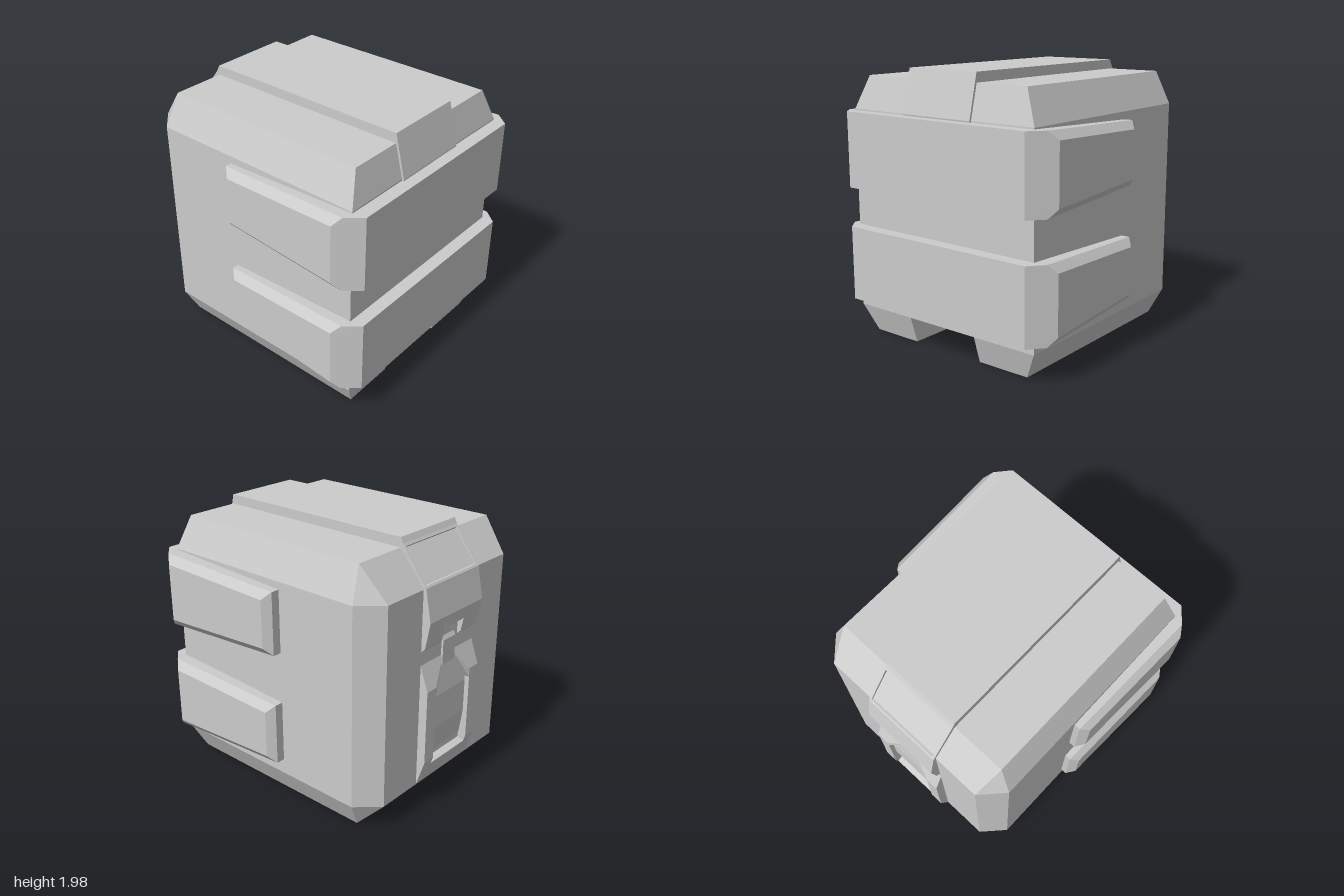
import * as THREE from 'three';
import { ConvexGeometry } from 'three/addons/geometries/ConvexGeometry.js';

const material = new THREE.MeshStandardMaterial({ color: 0xcccccc, flatShading: true });

// Solid hull around a few corner points
function hull(name, points) {
  const geometry = new ConvexGeometry(points.map((p) => new THREE.Vector3(...p)));
  const mesh = new THREE.Mesh(geometry, material);
  mesh.name = name;
  return mesh;
}

// Side profile in x/y, swept between two z positions
function slab(name, profile, z0, z1) {
  const shape = new THREE.Shape(profile.map(([x, y]) => new THREE.Vector2(x, y)));
  const geometry = new THREE.ExtrudeGeometry(shape, { depth: z1 - z0, bevelEnabled: false });
  geometry.translate(0, 0, z0);
  const mesh = new THREE.Mesh(geometry, material);
  mesh.name = name;
  return mesh;
}

const BAND = [-0.29, 0.31]; // z range of the central band

// Main case: a hexagonal trunk, a tapered top and two tapered feet
function makeBody() {
  const body = new THREE.Group();
  body.name = 'body';
  const waist = (y) => [
    [-0.935, y, -0.65], [-0.935, y, 0.66], [-0.775, y, 0.81],
    [0.905, y, 0.81], [0.905, y, -0.8], [-0.775, y, -0.8],
  ];
  const top = [];
  for (const x of [-0.74, 0.845]) for (const z of [-0.7, 0.71]) top.push([x, 1.91, z]);
  body.add(hull('case', [...waist(0.2), ...waist(1.67), ...top]));

  for (const front of [true, false]) {
    const inner = front ? BAND[1] : BAND[0];
    const outer = front ? 0.71 : -0.7;
    const rim = waist(0.2).filter((p) => (p[2] > 0) === front);
    body.add(hull('foot', [
      ...rim, [-0.935, 0.2, inner], [0.905, 0.2, inner],
      [-0.74, 0, inner], [0.845, 0, inner], [-0.74, 0, outer], [0.845, 0, outer],
    ]));
  }
  return body;
}

// Clamp wrapping the right end, with a tapered bevelled arm on each side
function makeClamp(y) {
  const clamp = new THREE.Group();
  clamp.name = 'clamp';
  const back = new THREE.Mesh(new THREE.BoxGeometry(0.2, 0.55, 1.59), material);
  back.name = 'clampBack';
  back.position.set(0.9, 0.275, -0.004);
  clamp.add(back);
  for (const s of [1, -1]) {
    const z = (v) => s * v - 0.004;
    const points = [
      [-0.08, 0.1, z(0.91)], [-0.08, 0.45, z(0.91)],
      [0.835, 0.06, z(0.935)], [0.835, 0.488, z(0.935)],
    ];
    for (const [x, low, high, mid] of [
      [-0.135, 0.045, 0.505, 0.86], [0.89, 0, 0.55, 0.888], [1, 0, 0.55, 0.795],
    ]) {
      for (const h of [low, high]) points.push([x, h, z(0.72)], [x, h, z(mid)]);
    }
    clamp.add(hull('clampArm', points));
  }
  clamp.position.y = y;
  return clamp;
}

// Raised band over the lid, with a shallow panel recess on its sloped end
function makeLidBand() {
  const group = new THREE.Group();
  group.name = 'lidBand';
  const profile = (recess) => [
    [-0.74, 1.98], [-0.76, 1.94], ...recess, [-0.955, 1.68], [-0.93, 1.62],
    [0.91, 1.62], [0.92, 1.67], [0.845, 1.98],
  ];
  const lip = 0.016;
  const [z0, z1] = BAND;
  const recess = [[-0.772, 1.923], [-0.757, 1.908], [-0.928, 1.692], [-0.945, 1.694]];
  group.add(slab('bandEdge', profile([]), z0, z0 + lip));
  group.add(slab('bandCentre', profile(recess), z0 + lip, z1 - lip));
  group.add(slab('bandEdge', profile([]), z1 - lip, z1));
  return group;
}

// Latch flap with a notch in the middle of its lower edge
function makeFlap() {
  const group = new THREE.Group();
  group.name = 'latchFlap';
  const upper = [[-0.9, 1.7], [-0.955, 1.68], [-1, 1.45]];
  const full = [...upper, [-0.965, 1.26], [-0.935, 1.23], [-0.9, 1.23]];
  const notched = [...upper, [-0.985, 1.36], [-0.9, 1.34]];
  group.add(slab('flapSide', full, BAND[0], -0.1));
  group.add(slab('flapCentre', notched, -0.1, 0.12));
  group.add(slab('flapSide', full, 0.12, BAND[1]));
  return group;
}

// Lower latch: a frame around a sunken plate, with a tab reaching the notch
function makeLatch() {
  const group = new THREE.Group();
  group.name = 'latch';
  const rail = [[-0.9, 0.2], [-0.935, 0.2], [-1, 0.4], [-1, 0.95], [-0.935, 1.13], [-0.9, 1.13]];
  const inner = [-0.19, 0.21];
  group.add(slab('frameRail', rail, BAND[0], inner[0]));
  group.add(slab('frameRail', rail, inner[1], BAND[1]));
  group.add(slab('frameFoot',
    [[-0.9, 0.2], [-0.935, 0.2], [-0.984, 0.35], [-0.94, 0.37], [-0.9, 0.37]], ...inner));
  group.add(slab('sunkenPlate',
    [[-0.9, 0.35], [-0.94, 0.42], [-0.965, 0.6], [-0.965, 0.85], [-0.94, 1.08], [-0.9, 1.1]], ...inner));
  // Sloped corners closing the frame towards the tab
  for (const [edge, tip] of [[inner[0], -0.06], [inner[1], 0.08]]) {
    const points = [];
    for (const [x, y, z] of [
      [-1, 0.88, edge], [-1, 0.95, edge], [-0.935, 1.13, edge],
      [-0.935, 1.13, tip], [-0.946, 1.1, tip],
    ]) points.push([x, y, z], [-0.91, y, z]);
    group.add(hull('frameCorner', points));
  }
  group.add(slab('tab',
    [[-0.9, 1.06], [-0.95, 1.06], [-0.95, 1.24], [-0.935, 1.27], [-0.9, 1.27]], -0.06, 0.08));
  return group;
}

export function createModel() {
  const model = new THREE.Group();
  model.name = 'utilityCase';
  model.add(makeBody(), makeLidBand(), makeFlap(), makeLatch());
  for (const y of [0.27, 1.11]) model.add(makeClamp(y));
  return model;
}
